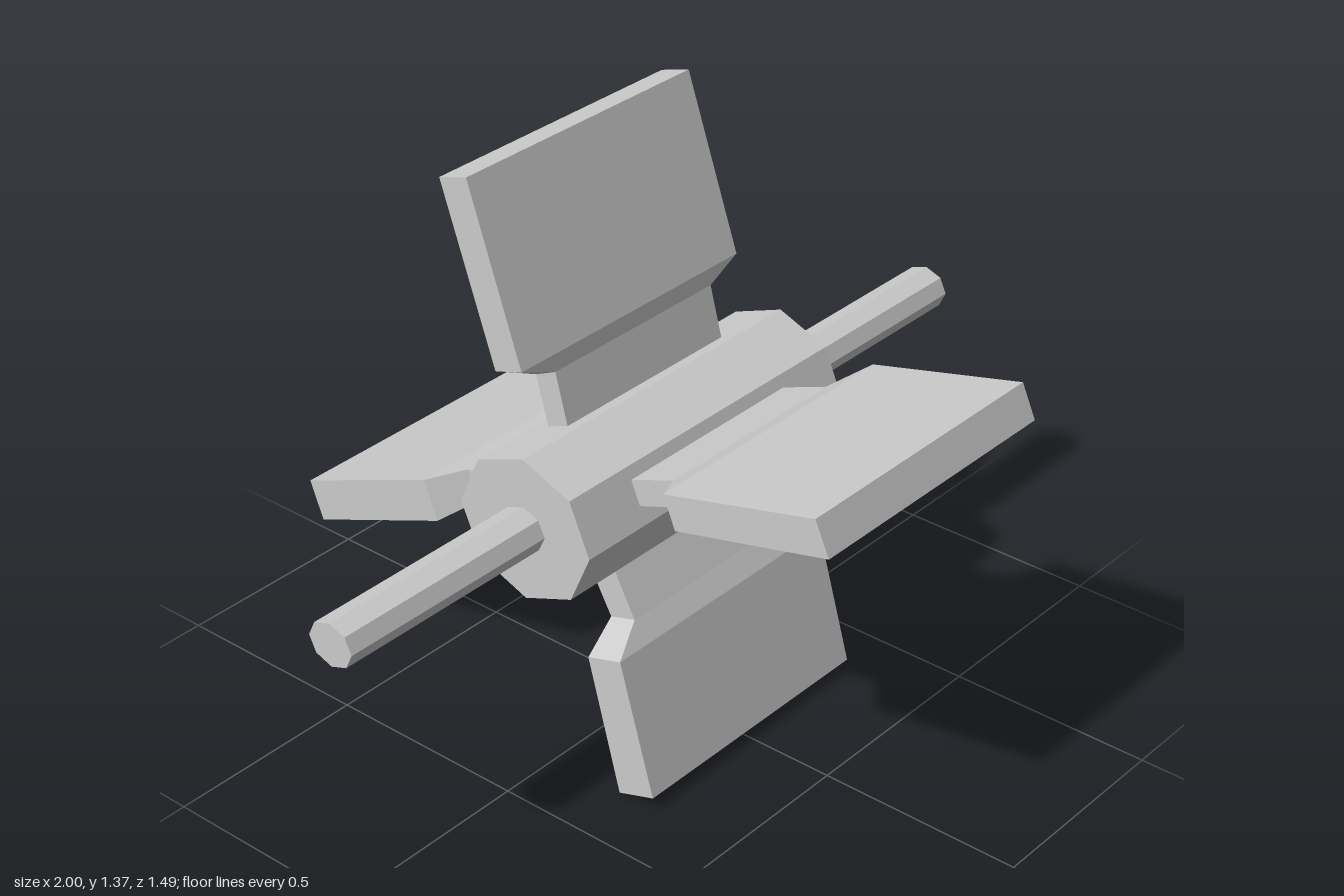
import * as THREE from 'three';

const material = new THREE.MeshStandardMaterial({ color: 0xcccccc, flatShading: true });

// Eight-sided bar lying along x
function octagonBar(name, ry, rz, length, y, z) {
  const geo = new THREE.CylinderGeometry(1, 1, length, 8);
  geo.rotateZ(Math.PI / 2);
  geo.scale(1, ry, rz);
  const mesh = new THREE.Mesh(geo, material);
  mesh.name = name;
  mesh.position.set(0, y, z);
  return mesh;
}

// Paddle lofted through four rectangular sections, from stem base to tip.
// Each section is [z1, y1, z2, y2]: the two edges seen along the axle.
function paddle(name, sections, stem, blade) {
  const widths = [stem, stem, blade, blade];
  const rings = sections.map(([z1, y1, z2, y2], i) => {
    const [l, r] = widths[i];
    return [[l, y1, z1], [r, y1, z1], [r, y2, z2], [l, y2, z2]];
  });
  const pos = [];
  const quad = (a, b, c, d) => pos.push(...a, ...b, ...c, ...a, ...c, ...d);
  for (let i = 0; i < rings.length - 1; i++) {
    for (let k = 0; k < 4; k++) {
      const n = (k + 1) % 4;
      quad(rings[i][k], rings[i][n], rings[i + 1][n], rings[i + 1][k]);
    }
  }
  quad(...rings[0].slice().reverse());
  quad(...rings[3]);
  const geo = new THREE.BufferGeometry();
  geo.setAttribute('position', new THREE.Float32BufferAttribute(pos, 3));
  geo.computeVertexNormals();
  const mesh = new THREE.Mesh(geo, material);
  mesh.name = name;
  return mesh;
}

export function createModel() {
  const group = new THREE.Group();
  group.name = 'paddleWheel';

  // Axle and hub
  group.add(octagonBar('axle', 0.052, 0.06, 2, 0.652, 0.003));
  group.add(octagonBar('hub', 0.172, 0.183, 0.863, 0.65, 0.005));

  // Four slightly bent paddles: narrow stem, flared shoulder, wide blade
  const wide = [-0.35, 0.36], narrow = [-0.345, 0.35];
  const stemA = [-0.25, 0.265], stemB = [-0.26, 0.268];
  group.add(paddle('upperPaddle', [
    [-0.023, 0.775, -0.079, 0.755],
    [-0.064, 0.928, -0.12, 0.902],
    [-0.068, 0.968, -0.143, 0.944],
    [-0.21, 1.374, -0.287, 1.351],
  ], stemA, wide));
  group.add(paddle('frontPaddle', [
    [0.145, 0.68, 0.117, 0.733],
    [0.291, 0.733, 0.263, 0.789],
    [0.351, 0.749, 0.319, 0.825],
    [0.745, 0.845, 0.709, 0.924],
  ], stemA, wide));
  group.add(paddle('lowerPaddle', [
    [0.018, 0.52, 0.086, 0.544],
    [0.096, 0.382, 0.163, 0.402],
    [0.104, 0.323, 0.195, 0.35],
    [0.191, 0.001, 0.287, 0.032],
  ], stemB, narrow));
  group.add(paddle('rearPaddle', [
    [-0.132, 0.629, -0.104, 0.557],
    [-0.323, 0.59, -0.295, 0.518],
    [-0.375, 0.582, -0.339, 0.49],
    [-0.745, 0.434, -0.709, 0.343],
  ], stemB, narrow));

  return group;
}
